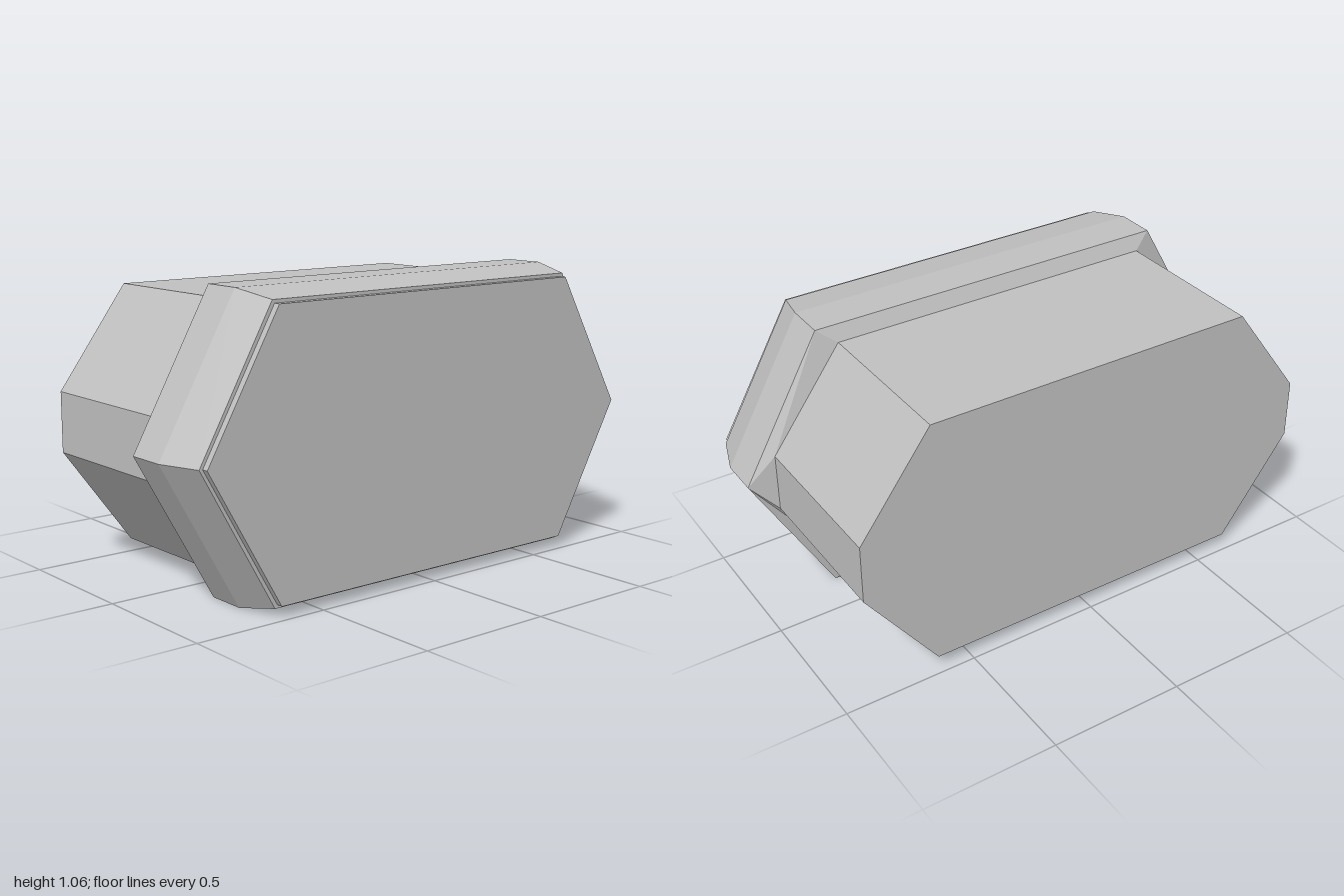
import * as THREE from 'three';

const MID = 0.53;

// Eight-point outline, counter-clockwise from the front: tip half-width,
// top corner half-width, half-height and half-height of the upright side (0 = pointed).
function outline(tip, corner, half, side, z) {
  return [
    [tip, -side], [tip, side], [corner, half], [-corner, half],
    [-tip, side], [-tip, -side], [-corner, -half], [corner, -half],
  ].map(([x, y]) => new THREE.Vector3(x, MID + y, z));
}

// Flat-faced skin through outlines ordered from back to front, with optional end caps.
function loft(rings, capBack, capFront) {
  const points = [];
  const tri = (a, b, c) => {
    const area = new THREE.Vector3().crossVectors(b.clone().sub(a), c.clone().sub(a)).length();
    if (area > 1e-8) points.push(a, b, c);
  };
  for (let r = 0; r < rings.length - 1; r++) {
    const back = rings[r], front = rings[r + 1];
    for (let i = 0; i < 8; i++) {
      const j = (i + 1) % 8;
      tri(back[i], back[j], front[j]);
      tri(back[i], front[j], front[i]);
    }
  }
  const first = rings[0], last = rings[rings.length - 1];
  for (let i = 1; i < 7; i++) {
    if (capBack) tri(first[0], first[i + 1], first[i]);
    if (capFront) tri(last[0], last[i], last[i + 1]);
  }
  const geometry = new THREE.BufferGeometry().setFromPoints(points);
  geometry.computeVertexNormals();
  return geometry;
}

export function createModel() {
  const group = new THREE.Group();
  const grey = new THREE.MeshStandardMaterial({ color: 0xc0c0c0 });
  grey.name = 'plain grey';

  const add = (name, geometry) => {
    const mesh = new THREE.Mesh(geometry, grey);
    mesh.name = name;
    group.add(mesh);
  };

  const bodyFront = outline(0.9, 0.63, 0.475, 0.11, 0.13);
  const step = outline(0.95, 0.665, 0.502, 0, 0.455);
  const panelBack = outline(0.937, 0.656, 0.49, 0, 0.455);

  // Eight-sided rear housing
  add('rearBody', loft([outline(0.9, 0.63, 0.475, 0.11, -0.48), bodyFront], true, false));

  // Six-sided collar: flares from the housing, runs straight, tapers and steps in
  add('frontCollar', loft([
    bodyFront,
    outline(1, 0.7, 0.53, 0, 0.157),
    outline(1, 0.7, 0.53, 0, 0.305),
    step,
    panelBack,
  ], false, false));

  // Slightly raised front plate
  add('frontPanel', loft([panelBack, outline(0.937, 0.656, 0.49, 0, 0.48)], false, true));

  return group;
}
